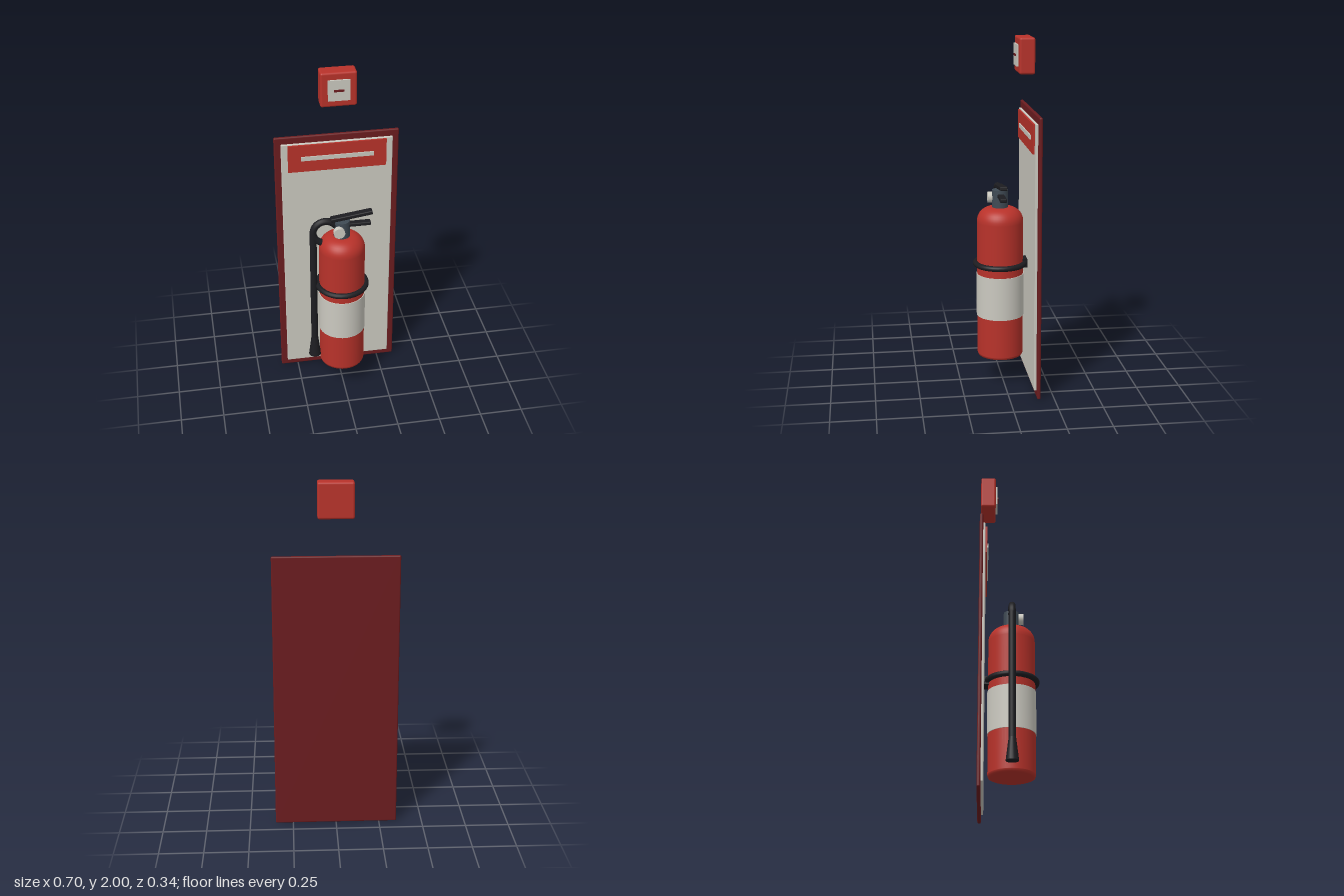
import * as THREE from 'three';
import { RoundedBoxGeometry } from 'three/addons/geometries/RoundedBoxGeometry.js';

const mat = (color) => new THREE.MeshStandardMaterial({ color });
const red = mat(0xb8322a), darkRed = mat(0x6b1c1f), pale = mat(0xcbc9c0);
const black = mat(0x1d1d21), slate = mat(0x3f4a54);

const AXIS_Z = 0.013; // depth of the extinguisher's axis

export function createModel() {
  const model = new THREE.Group();
  const add = (parent, name, geometry, material, x = 0, y = 0, z = 0) => {
    const mesh = new THREE.Mesh(geometry, material);
    mesh.name = name;
    mesh.position.set(x, y, z);
    parent.add(mesh);
    return mesh;
  };
  // Box given by its limits; centred on x = 0, optionally rounded
  const slab = (parent, name, material, halfW, y0, y1, z0, z1, r = 0) => {
    const size = [halfW * 2, y1 - y0, z1 - z0];
    const geo = r ? new RoundedBoxGeometry(...size, 3, r) : new THREE.BoxGeometry(...size);
    return add(parent, name, geo, material, 0, (y0 + y1) / 2, (z0 + z1) / 2);
  };
  const group = (name) => {
    const g = new THREE.Group();
    g.name = name;
    model.add(g);
    return g;
  };

  // Wall board with header sign
  const board = group('wallBoard');
  slab(board, 'backPanel', darkRed, 0.352, 0, 1.6, -0.173, -0.153, 0.008);
  slab(board, 'palePanel', pale, 0.315, 0.04, 1.56, -0.156, -0.14, 0.004);
  slab(board, 'headerSign', red, 0.278, 1.39, 1.555, -0.142, -0.13);
  slab(board, 'headerStripe', pale, 0.205, 1.46, 1.485, -0.132, -0.124);

  // Alarm call box above the board
  const alarm = group('alarmBox');
  slab(alarm, 'alarmHousing', red, 0.1, 1.8, 2, -0.17, -0.082, 0.012);
  slab(alarm, 'alarmPlate', pale, 0.06, 1.84, 1.96, -0.085, -0.072);
  slab(alarm, 'alarmSlot', darkRed, 0.028, 1.895, 1.906, -0.074, -0.066);

  // Extinguisher, built around its own vertical axis
  const ext = group('extinguisher');
  ext.position.z = AXIS_Z;

  // Tank: rounded foot, straight wall, domed shoulder
  const profile = [[0, 0.155], [0.118, 0.155], [0.128, 0.159], [0.132, 0.17], [0.132, 0.172], [0.132, 0.955], [0.132, 0.96]]
    .map(([r, y]) => new THREE.Vector2(r, y));
  for (let i = 1; i <= 10; i++) {
    const a = (i / 10) * Math.PI / 2;
    profile.push(new THREE.Vector2(0.05 + 0.082 * Math.cos(a), 0.96 + 0.08 * Math.sin(a)));
  }
  profile.push(new THREE.Vector2(0, 1.04));
  add(ext, 'tank', new THREE.LatheGeometry(profile, 48), red);
  add(ext, 'labelBand', new THREE.CylinderGeometry(0.136, 0.136, 0.25, 48), pale, 0, 0.525);

  // Holding ring and its wall bracket
  add(ext, 'holdingRing', new THREE.TorusGeometry(0.141, 0.016, 12, 32), black, 0, 0.71).rotation.x = Math.PI / 2;
  add(ext, 'wallBracket', new THREE.BoxGeometry(0.08, 0.05, 0.03), black, 0, 0.71, -0.141);

  // Valve, gauge and levers
  add(ext, 'valve', new THREE.CylinderGeometry(0.045, 0.047, 0.11, 24), slate, 0, 1.085);
  add(ext, 'gauge', new THREE.CylinderGeometry(0.032, 0.032, 0.03, 24), pale, -0.024, 1.092, 0.053).rotation.x = Math.PI / 2;
  add(ext, 'topLever', new RoundedBoxGeometry(0.24, 0.024, 0.042, 2, 0.006), black, 0.054, 1.165).rotation.z = 0.14;
  add(ext, 'lowerLever', new RoundedBoxGeometry(0.13, 0.022, 0.038, 2, 0.006), black, 0.1, 1.11);

  // Hose: arch, straight drop and flared nozzle
  const start = Math.PI * 0.19, arc = Math.PI * 1.2;
  add(ext, 'hoseArch', new THREE.TorusGeometry(0.07, 0.02, 12, 36, arc), black, -0.095, 1.07).rotation.z = start;
  add(ext, 'hose', new THREE.CylinderGeometry(0.02, 0.02, 0.75, 16), black, -0.165, 0.695);
  add(ext, 'nozzle', new THREE.CylinderGeometry(0.02, 0.036, 0.13, 20), black, -0.165, 0.265);

  return model;
}
